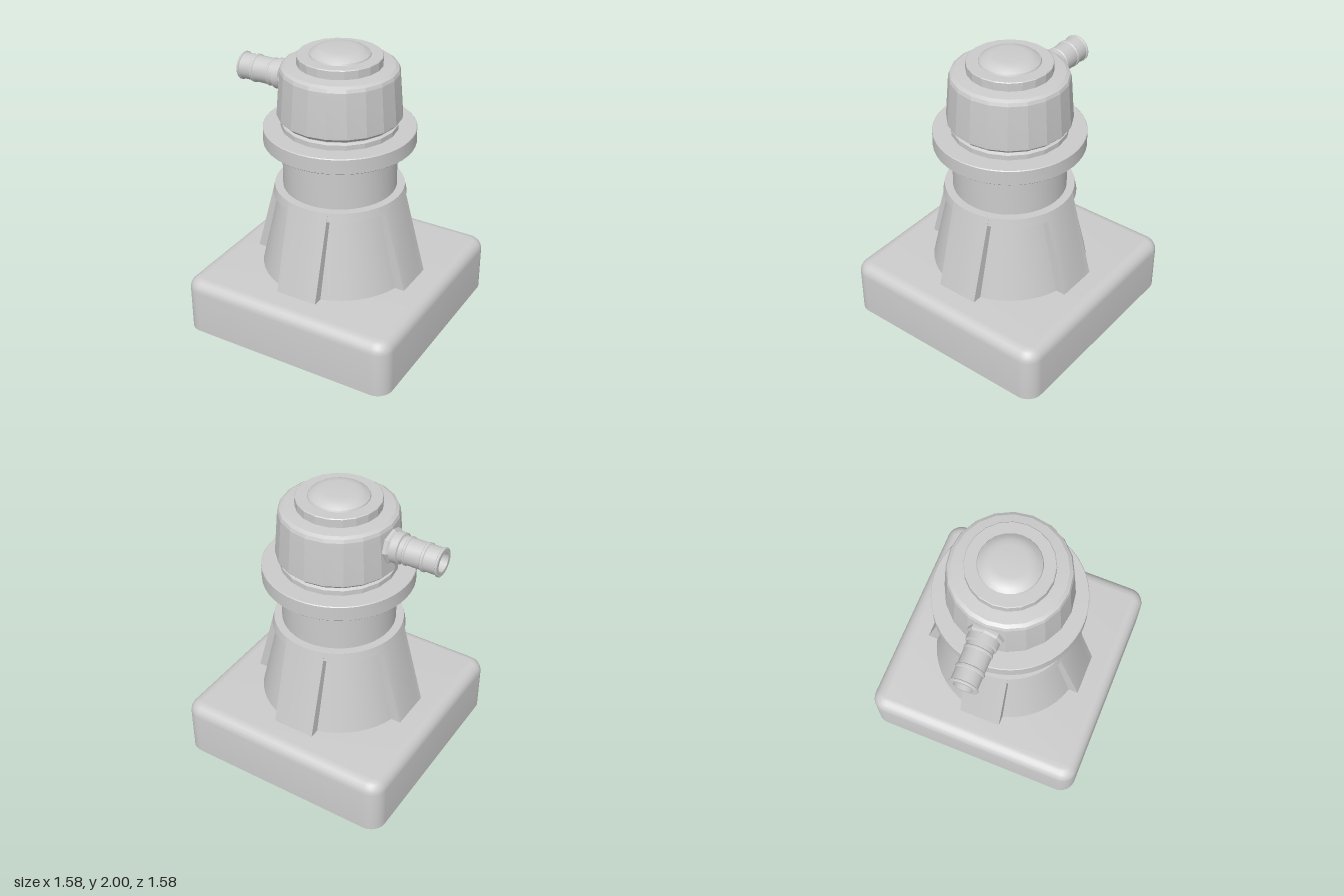
import * as THREE from 'three';
import { toCreasedNormals } from 'three/addons/utils/BufferGeometryUtils.js';

const material = new THREE.MeshStandardMaterial({ color: 0xcccccc });

function addMesh(parent, name, geometry) {
  const mesh = new THREE.Mesh(geometry, material);
  mesh.name = name;
  parent.add(mesh);
  return mesh;
}

// Turned part from [radius, height] pairs, listed bottom to top
function turned(points, segments, crease = 0.5) {
  const profile = points.map(([r, y]) => new THREE.Vector2(r, y));
  return toCreasedNormals(new THREE.LatheGeometry(profile, segments), crease);
}

// Square plinth with rounded corners, filleted top edge and flat underside
function baseGeometry() {
  const h = 0.79, r = 0.11, fillet = 0.08;
  const s = new THREE.Shape();
  s.absarc(h - r, h - r, r, 0, Math.PI / 2);
  s.absarc(-h + r, h - r, r, Math.PI / 2, Math.PI);
  s.absarc(-h + r, -h + r, r, Math.PI, Math.PI * 1.5);
  s.absarc(h - r, -h + r, r, Math.PI * 1.5, Math.PI * 2);
  s.closePath();
  const geometry = new THREE.ExtrudeGeometry(s, {
    depth: 0.4 - fillet, bevelThickness: fillet, bevelSize: fillet,
    bevelOffset: -fillet, bevelSegments: 5, curveSegments: 6,
  });
  const p = geometry.attributes.position;
  for (let i = 0; i < p.count; i++) p.setZ(i, Math.max(0, p.getZ(i)));
  geometry.rotateX(-Math.PI / 2);
  return toCreasedNormals(geometry, 0.6);
}

// Sloping rib: flat at the foot, curving to match the collar at the top
function ribGeometry() {
  const geometry = new THREE.BoxGeometry(0.3, 0.62, 0.3, 6, 1, 1);
  const p = geometry.attributes.position;
  for (let i = 0; i < p.count; i++) {
    const x = p.getX(i), top = p.getY(i) > 0;
    const outer = top ? Math.sqrt(0.445 ** 2 - x * x) : 0.59;
    p.setXYZ(i, x, top ? 1.02 : 0.4, p.getZ(i) > 0 ? outer : 0.3);
  }
  return toCreasedNormals(geometry, 0.5);
}

export function createModel() {
  const model = new THREE.Group();
  model.name = 'pedestalUnit';

  addMesh(model, 'base', baseGeometry());

  // Tapered pedestal with a collar overhanging the recessed panels
  addMesh(model, 'pedestal', turned([
    [0.545, 0.39], [0.42, 0.95], [0.458, 0.96], [0.445, 1.02], [0.38, 1.02],
  ], 48));
  const rib = ribGeometry();
  for (let i = 0; i < 4; i++) {
    addMesh(model, 'rib', rib).rotation.y = i * Math.PI / 2;
  }

  addMesh(model, 'barrel', turned([[0.39, 1.0], [0.39, 1.36]], 48));
  addMesh(model, 'flange', turned([
    [0.36, 1.345], [0.51, 1.345], [0.515, 1.35], [0.515, 1.45], [0.51, 1.455], [0.36, 1.455],
  ], 48));

  // Grooved neck under the head
  addMesh(model, 'neck', turned([
    [0.395, 1.45], [0.395, 1.49], [0.375, 1.5], [0.375, 1.545],
  ], 20, 0.2));

  // Faceted head with a rounded shoulder
  addMesh(model, 'head', turned([
    [0.36, 1.51], [0.395, 1.515], [0.42, 1.54], [0.42, 1.555], [0.397, 1.85],
    [0.388, 1.872], [0.365, 1.885], [0.27, 1.895],
  ], 20, 0.2));
  addMesh(model, 'capRing', turned([
    [0.285, 1.88], [0.285, 1.95], [0.28, 1.955], [0.19, 1.955],
  ], 20, 0.2));
  addMesh(model, 'capDome', turned([
    [0.207, 1.95], [0.2, 1.965], [0.175, 1.983], [0.145, 1.996], [0.11, 2], [0, 2],
  ], 24));

  // Hollow side nozzle, turned upright and then laid along -x
  const nozzle = new THREE.Group();
  nozzle.name = 'nozzle';
  nozzle.position.set(0, 1.718, 0);
  nozzle.rotation.z = Math.PI / 2;
  model.add(nozzle);
  addMesh(nozzle, 'nozzleFlange', turned([
    [0.12, 0.36], [0.12, 0.41], [0.105, 0.425], [0.08, 0.425],
  ], 8, 0.2));
  addMesh(nozzle, 'nozzlePipe', turned([
    [0.09, 0.38], [0.09, 0.42], [0.105, 0.425], [0.105, 0.475], [0.092, 0.48],
    [0.092, 0.51], [0.097, 0.515], [0.097, 0.525], [0.091, 0.53], [0.091, 0.635],
    [0.097, 0.64], [0.097, 0.655], [0.09, 0.66], [0.09, 0.742], [0.098, 0.747],
    [0.098, 0.755], [0.093, 0.76], [0.065, 0.76], [0.065, 0.45], [0, 0.45],
  ], 24));

  return model;
}
